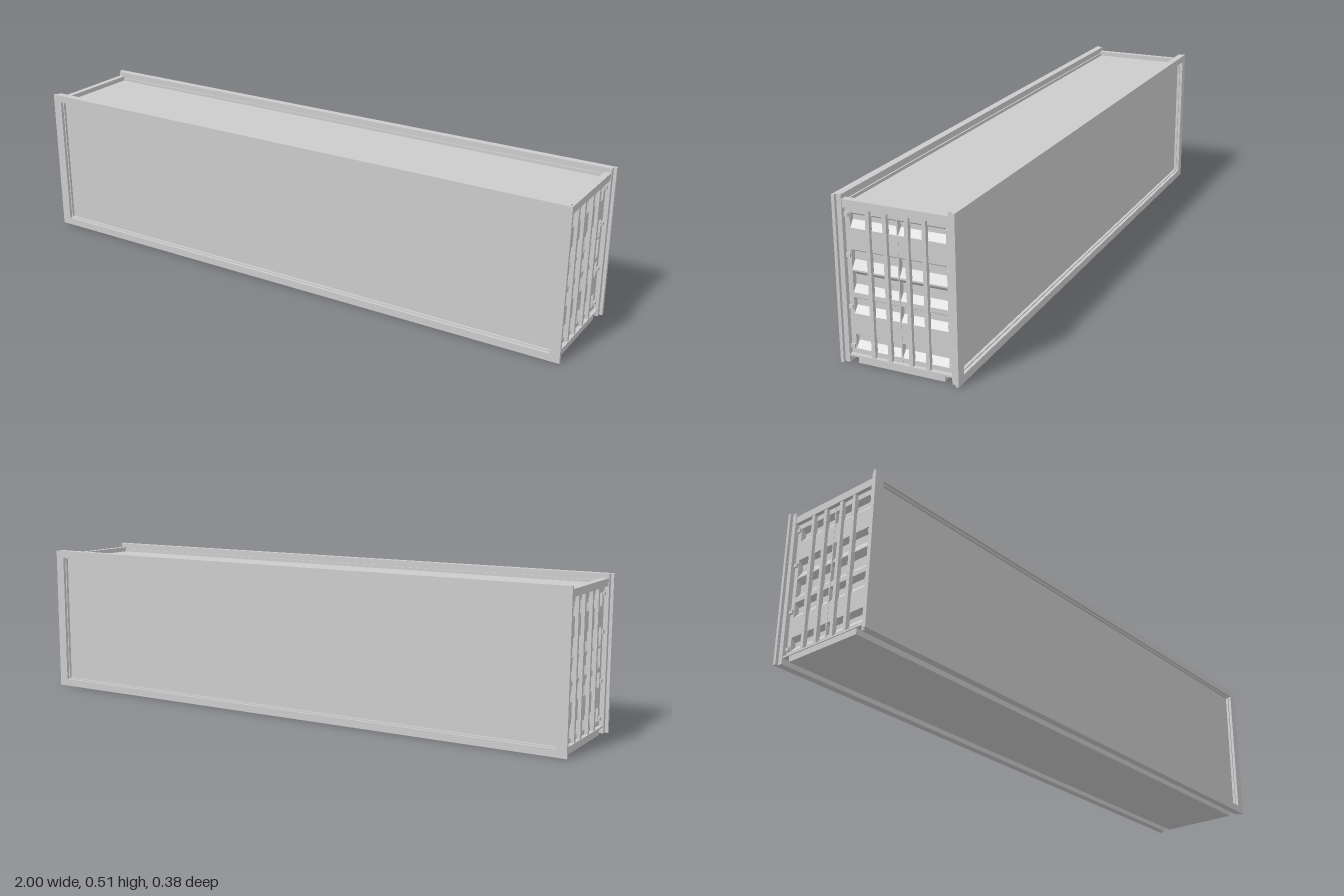
import * as THREE from 'three';

const material = new THREE.MeshStandardMaterial({ color: 0xcccccc, flatShading: true });

function add(parent, name, geometry) {
  const mesh = new THREE.Mesh(geometry, material);
  mesh.name = name;
  parent.add(mesh);
  return mesh;
}

// Box given by its limits on each axis
function box(parent, name, [x0, x1], [y0, y1], [z0, z1]) {
  const mesh = add(parent, name, new THREE.BoxGeometry(x1 - x0, y1 - y0, z1 - z0));
  mesh.position.set((x0 + x1) / 2, (y0 + y1) / 2, (z0 + z1) / 2);
  return mesh;
}

function rectPoints(w, y0, y1) {
  return [[-w, y0], [w, y0], [w, y1], [-w, y1]].map(p => new THREE.Vector2(...p));
}

// Rectangular frame in the xy plane, extruded along z
function frameGeometry(w, y0, y1, holeW, holeY0, holeY1, depth) {
  const shape = new THREE.Shape(rectPoints(w, y0, y1));
  shape.holes.push(new THREE.Path(rectPoints(holeW, holeY0, holeY1)));
  return new THREE.ExtrudeGeometry(shape, { depth, bevelEnabled: false });
}

// Long side: stepped frame around a recessed flat panel
function createSide() {
  const side = new THREE.Group();
  side.name = 'longSide';
  add(side, 'outerFrame', frameGeometry(1, 0, 0.51, 0.967, 0.025, 0.485, 0.01)).position.z = 0.18;
  add(side, 'innerFrame', frameGeometry(0.99, 0, 0.51, 0.963, 0.029, 0.481, 0.015)).position.z = 0.165;
  box(side, 'sidePanel', [-0.97, 0.97], [0.02, 0.49], [0.16, 0.171]);
  return side;
}

// Corrugated end with door frame, locking bars and hinges
function createEnd() {
  const end = new THREE.Group();
  end.name = 'doorEnd';
  box(end, 'topBeam', [0.967, 0.988], [0.472, 0.496], [-0.166, 0.166]);
  box(end, 'sill', [0.95, 0.988], [0.019, 0.025], [-0.166, 0.166]);

  const doorFrame = add(end, 'doorFrame',
    frameGeometry(0.165, 0.025, 0.472, 0.15, 0.04, 0.455, 0.025));
  doorFrame.rotation.y = Math.PI / 2;
  doorFrame.position.x = 0.95;

  // Horizontal corrugation: each rib as [start of inward slope, recess top, recess bottom, crest]
  const outer = 0.975, inner = 0.958;
  const ribs = [
    [0.455, 0.445, 0.43, 0.41], [0.345, 0.335, 0.31, 0.285], [0.28, 0.265, 0.235, 0.215],
    [0.2, 0.19, 0.17, 0.15], [0.085, 0.075, 0.06, 0.04],
  ];
  const profile = new THREE.Shape();
  profile.moveTo(0.945, 0.04);
  profile.lineTo(0.945, 0.455);
  for (const [a, b, c, d] of ribs) {
    profile.lineTo(outer, a);
    profile.lineTo(inner, b);
    profile.lineTo(inner, c);
    profile.lineTo(outer, d);
  }
  const panel = add(end, 'corrugatedDoors',
    new THREE.ExtrudeGeometry(profile, { depth: 0.3, bevelEnabled: false }));
  panel.position.z = -0.15;

  box(end, 'doorSeam', [0.955, 0.976], [0.026, 0.471], [-0.002, 0.002]);
  for (const z of [-0.088, -0.034, 0.034, 0.088]) {
    box(end, 'lockingBar', [0.972, 0.986], [0.025, 0.472], [z - 0.006, z + 0.006]);
  }
  for (const s of [-1, 1]) {
    for (const y of [0.048, 0.17, 0.328, 0.449]) {
      box(end, 'hinge', [0.973, 0.981], [y - 0.006, y + 0.006], [s * 0.1585 - 0.0065, s * 0.1585 + 0.0065]);
    }
  }
  return end;
}

export function createModel() {
  const model = new THREE.Group();
  model.name = 'cargoContainer';

  // Core with roof below the rails, and a narrower floor leaving grooves beside it
  box(model, 'body', [-0.955, 0.955], [0.02, 0.478], [-0.165, 0.165]);
  box(model, 'roof', [-0.97, 0.97], [0.472, 0.48], [-0.166, 0.166]);
  box(model, 'floor', [-0.985, 0.985], [0, 0.02], [-0.139, 0.139]);

  for (const angle of [0, Math.PI]) {
    const side = createSide();
    const end = createEnd();
    side.rotation.y = end.rotation.y = angle;
    model.add(side, end);
  }
  return model;
}
